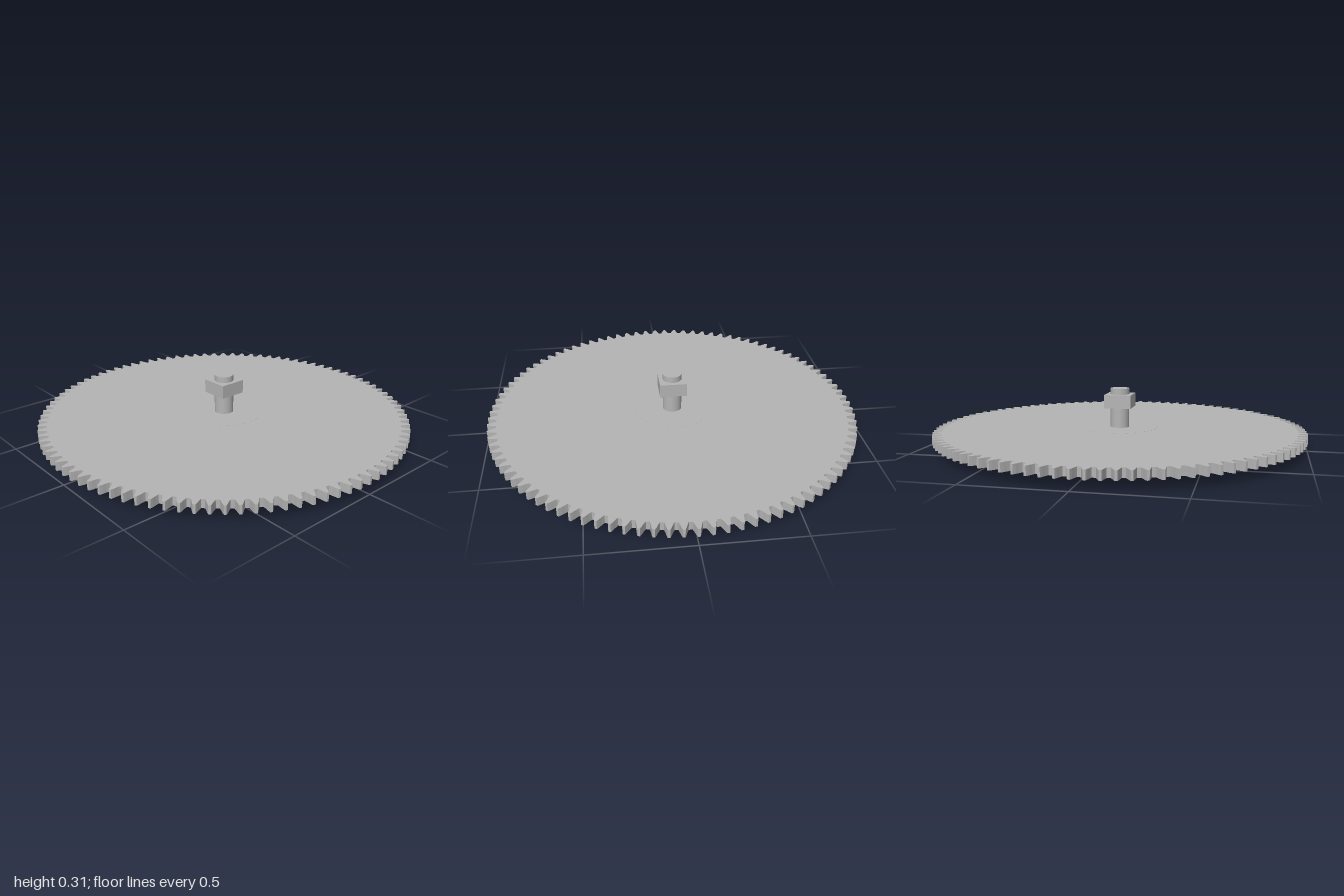
import * as THREE from 'three';

const TEETH = 96;
const ROOT = 0.952, TIP = 1.0;
const GEAR_Y = 0.05, GEAR_H = 0.045;

export function createModel() {
  const group = new THREE.Group();
  const steel = new THREE.MeshStandardMaterial({ color: 0xb4b4b4 });
  steel.name = 'steel grey';

  const add = (name, geometry, y) => {
    const mesh = new THREE.Mesh(geometry, steel);
    mesh.name = name;
    mesh.position.y = y;
    group.add(mesh);
  };

  // Tooth outline as [fraction of pitch, radius], slightly bulged flanks and a flat tip
  const tooth = [
    [-0.36, ROOT], [-0.26, 0.968], [-0.18, 0.985], [-0.09, TIP],
    [0.09, TIP], [0.18, 0.985], [0.26, 0.968], [0.36, ROOT],
  ];
  const outline = [];
  for (let i = 0; i < TEETH; i++) {
    for (const [t, r] of tooth) {
      const a = ((i + t) / TEETH) * Math.PI * 2;
      outline.push(new THREE.Vector2(Math.cos(a) * r, Math.sin(a) * r));
    }
  }

  // Toothed wheel, laid flat
  const wheel = new THREE.ExtrudeGeometry(new THREE.Shape(outline), {
    depth: GEAR_H, bevelEnabled: false,
  });
  wheel.rotateX(-Math.PI / 2);
  add('gearWheel', wheel, GEAR_Y);

  // Hub disc, barely proud of both wheel faces
  add('hubDisc', new THREE.CylinderGeometry(0.208, 0.208, GEAR_H + 0.001, 64), GEAR_Y + GEAR_H / 2);

  // Axle and square nut
  add('axle', new THREE.CylinderGeometry(0.051, 0.051, 0.308, 48), 0.154);
  add('squareNut', new THREE.BoxGeometry(0.145, 0.072, 0.145), 0.24);

  return group;
}
